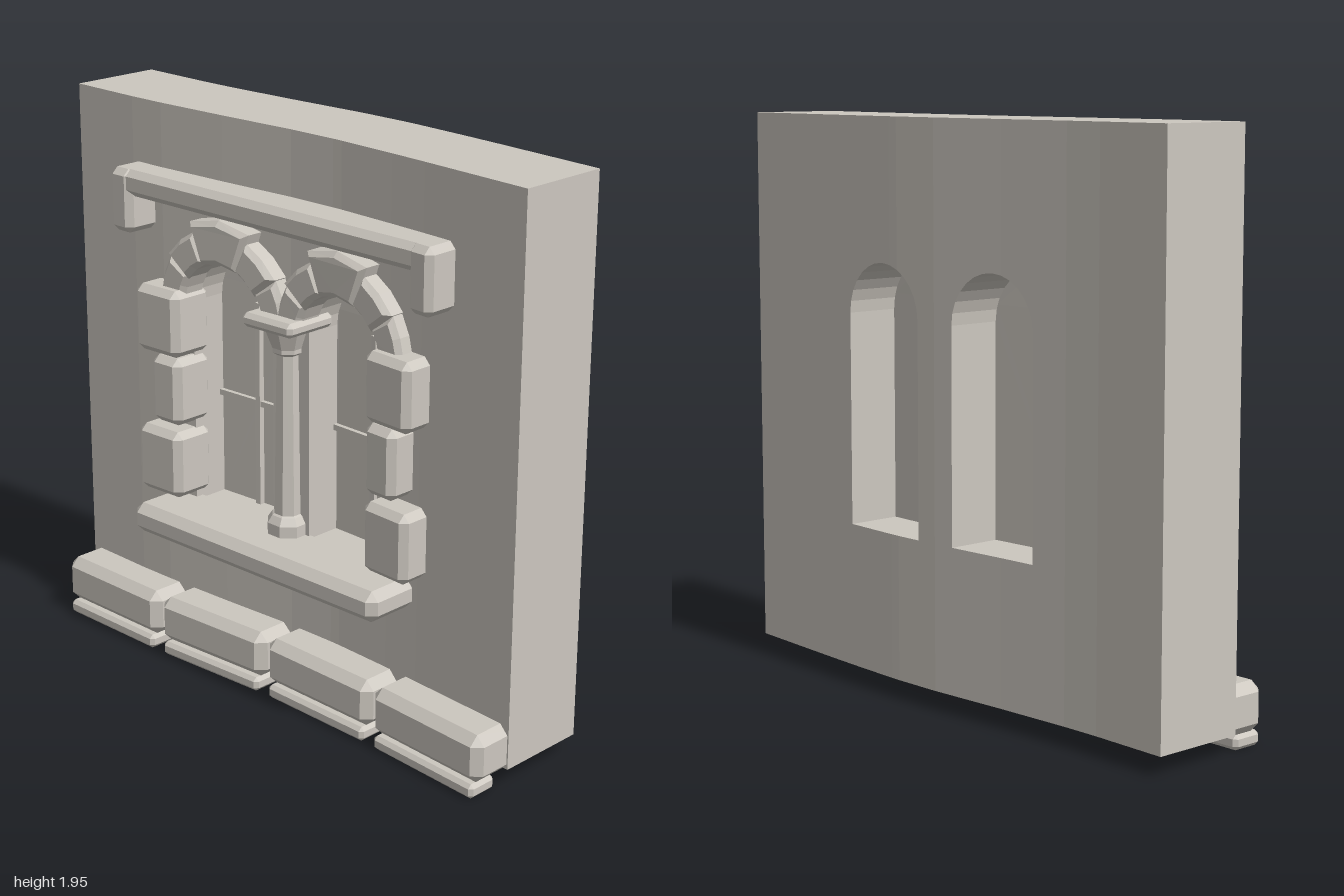
import * as THREE from 'three';
import { ConvexGeometry } from 'three/addons/geometries/ConvexGeometry.js';

const stone = new THREE.MeshStandardMaterial({ color: 0xccc7bf, flatShading: true });
stone.name = 'stone';

// Gentle horizontal curve of the whole wall: z offset at a given x
const KNOTS = [[-1, 0], [-0.65, 0.004], [-0.3, -0.015], [0, -0.036], [0.2, -0.041], [0.5, -0.03], [1, 0]];
function bow(x) {
  const cx = Math.min(1, Math.max(-1, x));
  const i = Math.max(1, KNOTS.findIndex(k => k[0] >= cx));
  const [x0, z0] = KNOTS[i - 1], [x1, z1] = KNOTS[i];
  return z0 + (z1 - z0) * (cx - x0) / (x1 - x0);
}
function bend(geo) {
  const p = geo.attributes.position;
  for (let i = 0; i < p.count; i++) p.setZ(i, p.getZ(i) + bow(p.getX(i)));
  geo.computeVertexNormals();
  return geo;
}

// Window openings
const WIN_X = 0.26, R = 0.18, SILL = 0.56, SPRING = 1.285;
const BOTTOM = 0.065, TOP = 1.945, FRONT = 0.09, BACK = -0.24;

export function createModel() {
  const group = new THREE.Group();
  const add = (geo, name) => {
    const mesh = new THREE.Mesh(geo, stone);
    mesh.name = name;
    group.add(mesh);
    return mesh;
  };

  // Chamfered block given by its limits
  function block(name, x0, x1, y0, y1, z0, z1, b = 0.025) {
    const h = [(x1 - x0) / 2, (y1 - y0) / 2, (z1 - z0) / 2];
    const c = [(x0 + x1) / 2, (y0 + y1) / 2, (z0 + z1) / 2];
    const pts = [];
    for (const sx of [-1, 1]) for (const sy of [-1, 1]) for (const sz of [-1, 1]) {
      for (let axis = 0; axis < 3; axis++) {
        const v = [sx, sy, sz].map((s, i) => c[i] + s * (h[i] - (i === axis ? 0 : b)));
        pts.push(new THREE.Vector3(...v));
      }
    }
    return add(bend(new ConvexGeometry(pts)), name);
  }

  // Wall, made of vertical strips so that it can follow the curve
  const pos = [];
  const quad = (a, b, c, d) => pos.push(...a, ...b, ...c, ...a, ...c, ...d);
  const f = (x, y) => [x, y, FRONT + bow(x)];
  const k = (x, y) => [x, y, BACK + bow(x)];
  // Strip of wall between two lower and two upper heights, closed above and below
  function strip(x0, x1, l0, l1, u0, u1) {
    quad(f(x0, l0), f(x1, l1), f(x1, u1), f(x0, u0));
    quad(k(x1, l1), k(x0, l0), k(x0, u0), k(x1, u1));
    quad(f(x0, u0), f(x1, u1), k(x1, u1), k(x0, u0));
    quad(k(x0, l0), k(x1, l1), f(x1, l1), f(x0, l0));
  }
  function solid(from, to, n) {
    for (let i = 0; i < n; i++) {
      const a = from + (to - from) * i / n, b = from + (to - from) * (i + 1) / n;
      strip(a, b, BOTTOM, BOTTOM, TOP, TOP);
    }
  }
  solid(-1, -WIN_X - R, 4);
  solid(-WIN_X + R, WIN_X - R, 2);
  solid(WIN_X + R, 1, 4);
  for (const c of [-WIN_X, WIN_X]) {
    const n = 14;
    for (let i = 0; i < n; i++) {
      const t0 = Math.PI * i / n, t1 = Math.PI * (i + 1) / n;
      const a = c - R * Math.cos(t0), b = c - R * Math.cos(t1);
      strip(a, b, BOTTOM, BOTTOM, SILL, SILL);
      strip(a, b, SPRING + R * Math.sin(t0), SPRING + R * Math.sin(t1), TOP, TOP);
    }
    const l = c - R, r = c + R;
    quad(f(l, SILL), k(l, SILL), k(l, SPRING), f(l, SPRING));
    quad(k(r, SILL), f(r, SILL), f(r, SPRING), k(r, SPRING));
  }
  quad(k(-1, BOTTOM), f(-1, BOTTOM), f(-1, TOP), k(-1, TOP));
  quad(f(1, BOTTOM), k(1, BOTTOM), k(1, TOP), f(1, TOP));
  const wall = new THREE.BufferGeometry();
  wall.setAttribute('position', new THREE.Float32BufferAttribute(pos, 3));
  wall.computeVertexNormals();
  add(wall, 'wall');

  // Window panes, glazing bars and arch stones
  for (const c of [-WIN_X, WIN_X]) {
    const paneShape = new THREE.Shape();
    paneShape.moveTo(c - R, SILL);
    paneShape.lineTo(c + R, SILL);
    paneShape.lineTo(c + R, SPRING);
    paneShape.absarc(c, SPRING, R, 0, Math.PI, false);
    const pane = new THREE.ExtrudeGeometry(paneShape, { depth: 0.009, bevelEnabled: false, curveSegments: 10 });
    add(bend(pane.translate(0, 0, -0.05)), 'windowPane');
    const upright = new THREE.BoxGeometry(0.02, 0.73, 0.025).translate(c, 0.925, -0.035);
    const crossbar = new THREE.BoxGeometry(2 * R, 0.02, 0.02).translate(c, 0.93, -0.035);
    add(bend(upright), 'windowUpright');
    add(bend(crossbar), 'windowCrossbar');

    // Each arch: two curved side stones and a taller keystone
    const sector = (a0, a1, rIn, rOut, steps, depth, name) => {
      const bev = 0.018, pts = [];
      const put = (r, a) => pts.push(new THREE.Vector2(c + r * Math.cos(a), SPRING + r * Math.sin(a)));
      const da = bev / ((rIn + rOut) / 2);
      const at = i => a0 + da + (a1 - a0 - 2 * da) * i / steps;
      for (let i = 0; i <= steps; i++) put(rOut - bev, at(i));
      for (let i = steps; i >= 0; i--) put(rIn + bev, at(i));
      const geo = new THREE.ExtrudeGeometry(new THREE.Shape(pts), {
        depth: depth - bev, bevelEnabled: true, bevelSize: bev, bevelThickness: bev, bevelSegments: 1,
      });
      add(bend(geo.translate(0, 0, 0.06)), name);
    };
    const rad = THREE.MathUtils.degToRad;
    sector(rad(5), rad(36), 0.175, 0.285, 2, 0.09, 'archStone');
    sector(rad(34), rad(68), 0.175, 0.29, 2, 0.1, 'archStone');
    sector(rad(112), rad(146), 0.175, 0.29, 2, 0.1, 'archStone');
    sector(rad(144), rad(175), 0.175, 0.285, 2, 0.09, 'archStone');
    sector(rad(65), rad(115), 0.175, 0.325, 2, 0.105, 'keystone');
  }

  // Jamb stones beside the windows
  for (const s of [-1, 1]) {
    for (const [outer, y0, y1, z] of [[0.62, 1.1, 1.335, 0.195], [0.553, 0.855, 1.095, 0.19], [0.618, 0.59, 0.83, 0.195]]) {
      const a = s * 0.42, b = s * outer;
      block('jambStone', Math.min(a, b), Math.max(a, b), y0, y1, 0.03, z, 0.024);
    }
  }

  // Sill and hood moulding with dropped ends
  block('sill', -0.565, 0.56, 0.463, 0.57, 0.03, 0.28, 0.03);
  block('hoodBar', -0.69, 0.69, 1.635, 1.725, 0.03, 0.2, 0.022);
  for (const s of [-1, 1]) block('hoodEnd', s * 0.667 - 0.05, s * 0.667 + 0.05, 1.505, 1.725, 0.03, 0.205, 0.022);

  // Central column
  const profile = [[0, 0.565], [0.075, 0.565], [0.075, 0.61], [0.058, 0.635], [0.05, 0.64], [0.041, 1.2],
    [0.055, 1.21], [0.055, 1.225], [0.085, 1.3], [0, 1.3]].map(p => new THREE.Vector2(...p));
  const column = new THREE.LatheGeometry(profile, 8, Math.PI / 8);
  add(column.translate(-0.005, 0, 0.1 + bow(0)), 'column');
  block('columnTop', -0.112, 0.107, 1.293, 1.342, 0.0, 0.205, 0.015);

  // Plinth stones with a thin course beneath
  for (let i = 0; i < 4; i++) {
    const x = -0.75 + i * 0.5;
    block('plinthStone', x - 0.245, x + 0.245, 0.05, 0.215, -0.02, 0.232, 0.032);
    block('plinthCourse', x - 0.225, x + 0.225, 0, 0.05, 0.12, 0.235, 0.013);
  }
  return group;
}
